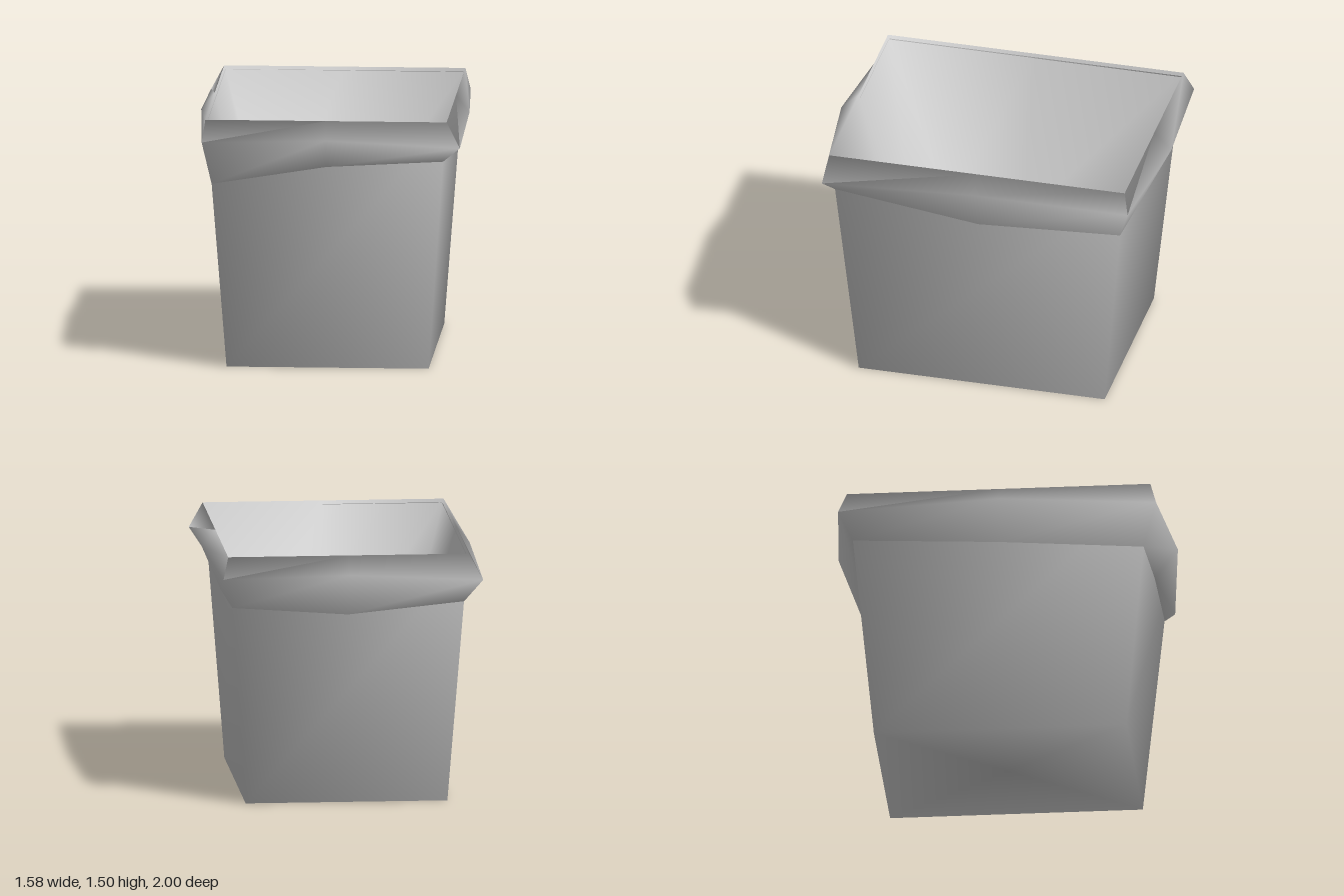
import * as THREE from 'three';

// Joins rings of equal point count into one smooth skin; a one-point ring closes an end.
function loft(rings, material, name) {
  const n = Math.max(...rings.map(r => r.length));
  const positions = [], index = [], starts = [];
  for (const ring of rings) {
    starts.push(positions.length / 3);
    for (const p of ring) positions.push(...p);
  }
  const at = (r, i) => starts[r] + (i % rings[r].length);
  for (let r = 0; r < rings.length - 1; r++) {
    for (let i = 0; i < n; i++) {
      const a = at(r, i), b = at(r, i + 1), c = at(r + 1, i + 1), d = at(r + 1, i);
      if (a !== b) index.push(a, b, c);
      if (c !== d) index.push(a, c, d);
    }
  }
  const geometry = new THREE.BufferGeometry();
  geometry.setAttribute('position', new THREE.Float32BufferAttribute(positions, 3));
  geometry.setIndex(index);
  geometry.computeVertexNormals();
  const mesh = new THREE.Mesh(geometry, material);
  mesh.name = name;
  return mesh;
}

// Corner and mid-side directions, starting at the front corner on -x
const AROUND = [[-1, 1], [0, 1], [1, 1], [1, 0], [1, -1], [0, -1], [-1, -1], [-1, 0]];
const halfX = y => 0.595 + 0.077 * y;
const halfZ = y => 0.745 + 0.1 * y;

// A point on the tapering wall at height y, moved inwards by inset
const wallPoint = ([sx, sz], y, inset = 0) =>
  [sx * (halfX(y) - inset), y, sz * (halfZ(y) - inset)];

export function createModel() {
  const group = new THREE.Group();
  group.name = 'linedBin';
  const grey = new THREE.MeshStandardMaterial({ color: 0xcccccc, side: THREE.DoubleSide });

  // Tapered bin with a closed bottom
  const corners = AROUND.filter(([sx, sz]) => sx && sz);
  group.add(loft([
    [[0, 0, 0]],
    corners.map(c => wallPoint(c, 0)),
    corners.map(c => wallPoint(c, 1.48, 0.006)),
  ], grey, 'bin'));

  // Liner bag: uneven hem, bulging fold, rim, then sagging down inside
  const hemHeights = [1.11, 1.22, 1.26, 1.14, 1.19, 1.14, 1.21, 1.17];
  const hem = AROUND.map((d, i) => wallPoint(d, hemHeights[i], 0.004));
  const fold = [
    [-0.73, 1.37, 0.93], [0, 1.4, 1], [0.79, 1.35, 0.92], [0.79, 1.4, 0],
    [0.74, 1.37, -0.92], [0, 1.4, -1], [-0.79, 1.35, -0.94], [-0.79, 1.4, 0],
  ];
  const rim = AROUND.map(d => wallPoint(d, 1.5));
  const sag = [
    [-0.42, 0.55, 0.45], [0, 0.55, 0.55], [0.42, 0.55, 0.5], [0.5, 0.55, 0],
    [0.4, 0.5, -0.5], [0, 0.5, -0.53], [-0.4, 0.5, -0.52], [-0.43, 0.55, 0],
  ];
  group.add(loft([hem, fold, rim, sag, [[0.05, 0.48, 0.1]]], grey, 'linerBag'));

  return group;
}
